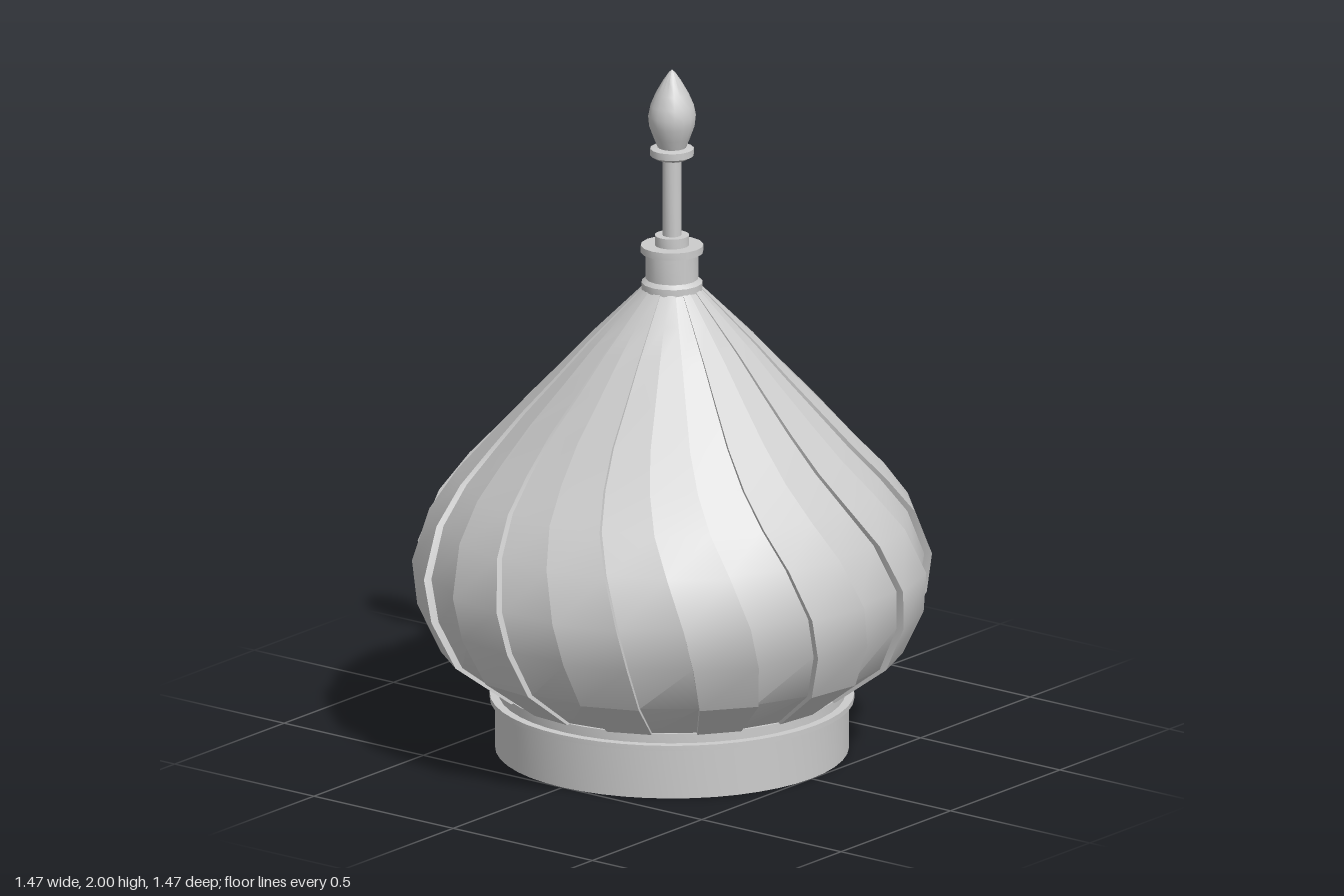
import * as THREE from 'three';
import { toCreasedNormals } from 'three/addons/utils/BufferGeometryUtils.js';

const material = new THREE.MeshStandardMaterial({ color: 0xcccccc, side: THREE.DoubleSide });

function lathe(name, points, sides) {
  const profile = points.map(([r, y]) => new THREE.Vector2(r, y));
  const geometry = toCreasedNormals(new THREE.LatheGeometry(profile, sides), 0.6);
  const mesh = new THREE.Mesh(geometry, material);
  mesh.name = name;
  return mesh;
}

// Swirled onion shell: 24 strips, every other one raised, with a narrow riser at each seam
function onionShell() {
  // radius, height, twist in degrees
  const rows = [
    [0.495, 0.185, 16.5], [0.658, 0.305, 15], [0.722, 0.44, 13], [0.735, 0.56, 10.8],
    [0.685, 0.7, 7], [0.608, 0.805, 3.5], [0.52, 0.9, 1.3], [0.43, 1.0, 0],
    [0.335, 1.1, 0], [0.243, 1.2, 0], [0.158, 1.285, 0], [0.085, 1.358, 0],
  ];
  const strips = 24, count = strips * 2, recess = 0.97;
  const positions = [], indices = [];
  for (const [r, y, twist] of rows) {
    for (let i = 0; i < count; i++) {
      const strip = Math.floor(i / 2);
      const a = THREE.MathUtils.degToRad((strip + (i % 2)) * 360 / strips + twist);
      const radius = strip % 2 === 0 ? r : r * recess;
      positions.push(radius * Math.sin(a), y, radius * Math.cos(a));
    }
  }
  for (let j = 0; j < rows.length - 1; j++) {
    for (let i = 0; i < count; i++) {
      const a = j * count + i, b = j * count + (i + 1) % count;
      indices.push(a, b, b + count, a, b + count, a + count);
    }
  }
  const geometry = new THREE.BufferGeometry();
  geometry.setAttribute('position', new THREE.Float32BufferAttribute(positions, 3));
  geometry.setIndex(indices);
  const mesh = new THREE.Mesh(toCreasedNormals(geometry, 0.47), material);
  mesh.name = 'onionShell';
  return mesh;
}

export function createModel() {
  const model = new THREE.Group();
  model.name = 'onionDome';

  // Open drum with a thin lip under the dome
  model.add(lathe('drum', [
    [0.49, 0], [0.5, 0], [0.5, 0.145], [0.515, 0.145], [0.515, 0.16],
    [0.49, 0.16], [0.49, 0.188], [0.478, 0.188], [0.49, 0.145], [0.49, 0],
  ], 48));

  model.add(onionShell());

  // Neck with bottom collar and cap
  model.add(lathe('neck', [
    [0.075, 1.345], [0.087, 1.352], [0.087, 1.374], [0.075, 1.385], [0.075, 1.458],
    [0.089, 1.462], [0.089, 1.483], [0.049, 1.483], [0.049, 1.512], [0, 1.512],
  ], 16));

  // Finial: rod, collar and pointed bud
  const finial = new THREE.Group();
  finial.name = 'finial';
  finial.add(
    lathe('rod', [[0.027, 1.5], [0.027, 1.75]], 12),
    lathe('collar', [
      [0, 1.738], [0.045, 1.738], [0.062, 1.748], [0.062, 1.768], [0.04, 1.772], [0, 1.772],
    ], 16),
    lathe('bud', [
      [0.04, 1.77], [0.052, 1.8], [0.065, 1.835], [0.068, 1.865], [0.062, 1.895],
      [0.047, 1.93], [0.026, 1.967], [0.009, 1.992], [0, 2],
    ], 16),
  );
  model.add(finial);

  return model;
}
